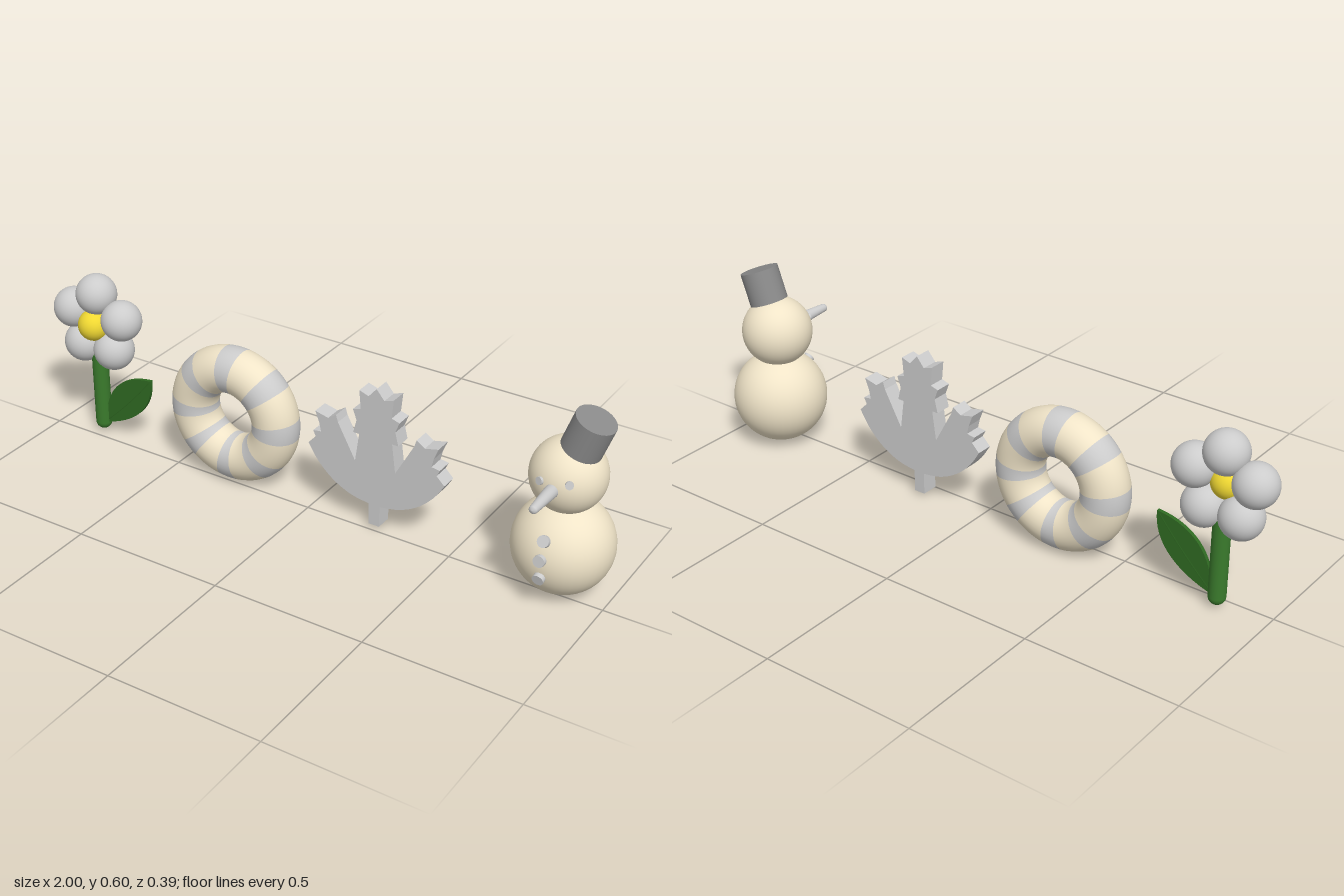
import * as THREE from 'three';

const Z = -0.04; // common depth of all four ornaments
const mat = (color) => new THREE.MeshStandardMaterial({ color });
const grey = mat(0xcccccc);
const darkGrey = mat(0x8a8a8a);
const cream = mat(0xf0e4c8);
const stripe = mat(0xc4c4c8);
const green = mat(0x3a7a2c);
const leafGreen = mat(0x2f6a22);
const yellow = mat(0xf0d832);

function add(parent, name, geometry, material, x = 0, y = 0, z = 0) {
  const mesh = new THREE.Mesh(geometry, material);
  mesh.name = name;
  mesh.position.set(x, y, z);
  parent.add(mesh);
  return mesh;
}

function group(parent, name, x) {
  const g = new THREE.Group();
  g.name = name;
  g.position.set(x, 0, Z);
  parent.add(g);
  return g;
}

const ball = (r) => new THREE.SphereGeometry(r, 40, 28);

function extrude(shape, depth) {
  const g = new THREE.ExtrudeGeometry(shape, { depth, bevelEnabled: false, curveSegments: 16 });
  return g.translate(0, 0, -depth / 2);
}

function buildFlower(root) {
  const flower = group(root, 'flower', -0.837);

  // Five round petals around a yellow centre
  for (let i = 0; i < 5; i++) {
    const a = Math.PI / 2 + (i * Math.PI * 2) / 5;
    add(flower, 'petal', ball(0.067), grey, 0.102 * Math.cos(a), 0.403 + 0.102 * Math.sin(a), -0.002);
  }
  add(flower, 'flowerCentre', ball(0.052), yellow, 0, 0.403, 0.02);

  // Rounded stem
  add(flower, 'stem', new THREE.CapsuleGeometry(0.027, 0.25, 8, 24), green, 0, 0.164, 0);

  // Pointed leaf with a thin midrib
  const s = new THREE.Shape();
  s.moveTo(0.015, 0.04);
  s.bezierCurveTo(0.02, 0.14, 0.06, 0.235, 0.208, 0.248);
  s.bezierCurveTo(0.215, 0.14, 0.13, 0.07, 0.015, 0.04);
  add(flower, 'stemLeaf', extrude(s, 0.012), leafGreen);
  const rib = new THREE.QuadraticBezierCurve3(
    new THREE.Vector3(0.02, 0.05, 0), new THREE.Vector3(0.11, 0.13, 0), new THREE.Vector3(0.2, 0.24, 0));
  add(flower, 'leafRib', new THREE.TubeGeometry(rib, 12, 0.0075, 6), leafGreen).scale.z = 1;
}

function buildRing(root) {
  const ring = group(root, 'swimRing', -0.297);
  ring.position.y = 0.232;

  // Eight narrow stripes separated by eight wide cream sections
  const narrow = THREE.MathUtils.degToRad(17);
  const wide = Math.PI / 4 - narrow;
  for (let i = 0; i < 8; i++) {
    const a = (i * Math.PI) / 4;
    add(ring, 'ringStripe', new THREE.TorusGeometry(0.153, 0.076, 32, 5, narrow), stripe)
      .rotation.z = a - narrow / 2;
    add(ring, 'ringSection', new THREE.TorusGeometry(0.153, 0.076, 32, 9, wide), cream)
      .rotation.z = a + narrow / 2;
  }
}

function buildMapleLeaf(root) {
  const leaf = group(root, 'lobedLeaf', 0.231);

  // Right half of the outline: toothed lobes, rounded underside, stalk
  const teeth = [
    [0, 0.488], [0.027, 0.456], [0.059, 0.467], [0.053, 0.405], [0.08, 0.397], [0.067, 0.362],
    [0.078, 0.318], [0.057, 0.318], [0.07, 0.221], [0.132, 0.335], [0.139, 0.358], [0.167, 0.339],
    [0.213, 0.35], [0.198, 0.312], [0.192, 0.284], [0.22, 0.28], [0.21, 0.259], [0.237, 0.232],
  ].map(([x, y]) => new THREE.Vector2(x, y));
  const underside = new THREE.SplineCurve([
    [0.237, 0.232], [0.203, 0.18], [0.15, 0.13], [0.085, 0.097], [0.019, 0.085],
  ].map(([x, y]) => new THREE.Vector2(x, y))).getPoints(16).slice(1);
  const half = [...teeth, ...underside, new THREE.Vector2(0.019, 0.013)];
  const mirrored = half.slice(1).reverse().map((p) => new THREE.Vector2(-p.x, p.y));
  add(leaf, 'leafBlade', extrude(new THREE.Shape([...half, ...mirrored]), 0.055), grey);
}

function buildSnowman(root) {
  const man = group(root, 'snowman', 0.845);
  const bodyY = 0.16, bodyR = 0.153, headY = 0.391, headR = 0.114;
  add(man, 'body', ball(bodyR), cream, 0, bodyY, 0);
  add(man, 'head', ball(headR), cream, 0, headY, 0.002);

  // Small studs standing out along the surface normal of a ball
  const up = new THREE.Vector3(0, 1, 0);
  const stud = (name, cy, r, dx, dy, size, height) => {
    const n = new THREE.Vector3(dx, dy, Math.sqrt(r * r - dx * dx - dy * dy)).normalize();
    const m = add(man, name, new THREE.CylinderGeometry(size, size, height, 20), grey);
    m.position.copy(n).multiplyScalar(r).add(new THREE.Vector3(0, cy, 0));
    m.quaternion.setFromUnitVectors(up, n);
  };
  for (const dy of [0.075, 0.022, -0.038]) stud('button', bodyY, bodyR, 0, dy, 0.018, 0.026);
  stud('rightEye', headY, headR, -0.038, 0.018, 0.012, 0.018);
  stud('leftEye', headY, headR, 0.046, 0.028, 0.012, 0.018);

  // Tapered nose with a rounded tip
  const profile = [[0, 0.235], [0.008, 0.233], [0.012, 0.229], [0.0135, 0.222], [0.022, 0.09], [0, 0.09]]
    .map(([x, y]) => new THREE.Vector2(x, y)).reverse();
  add(man, 'nose', new THREE.LatheGeometry(profile, 24), grey, 0, 0.391, 0).rotation.x = Math.PI / 2;

  // Tilted hat
  add(man, 'hat', new THREE.CylinderGeometry(0.062, 0.062, 0.109, 40), darkGrey, 0.0505, 0.535, 0.005)
    .rotation.z = THREE.MathUtils.degToRad(-20);
}

export function createModel() {
  const root = new THREE.Group();
  root.name = 'ornaments';
  buildFlower(root);
  buildRing(root);
  buildMapleLeaf(root);
  buildSnowman(root);
  return root;
}
